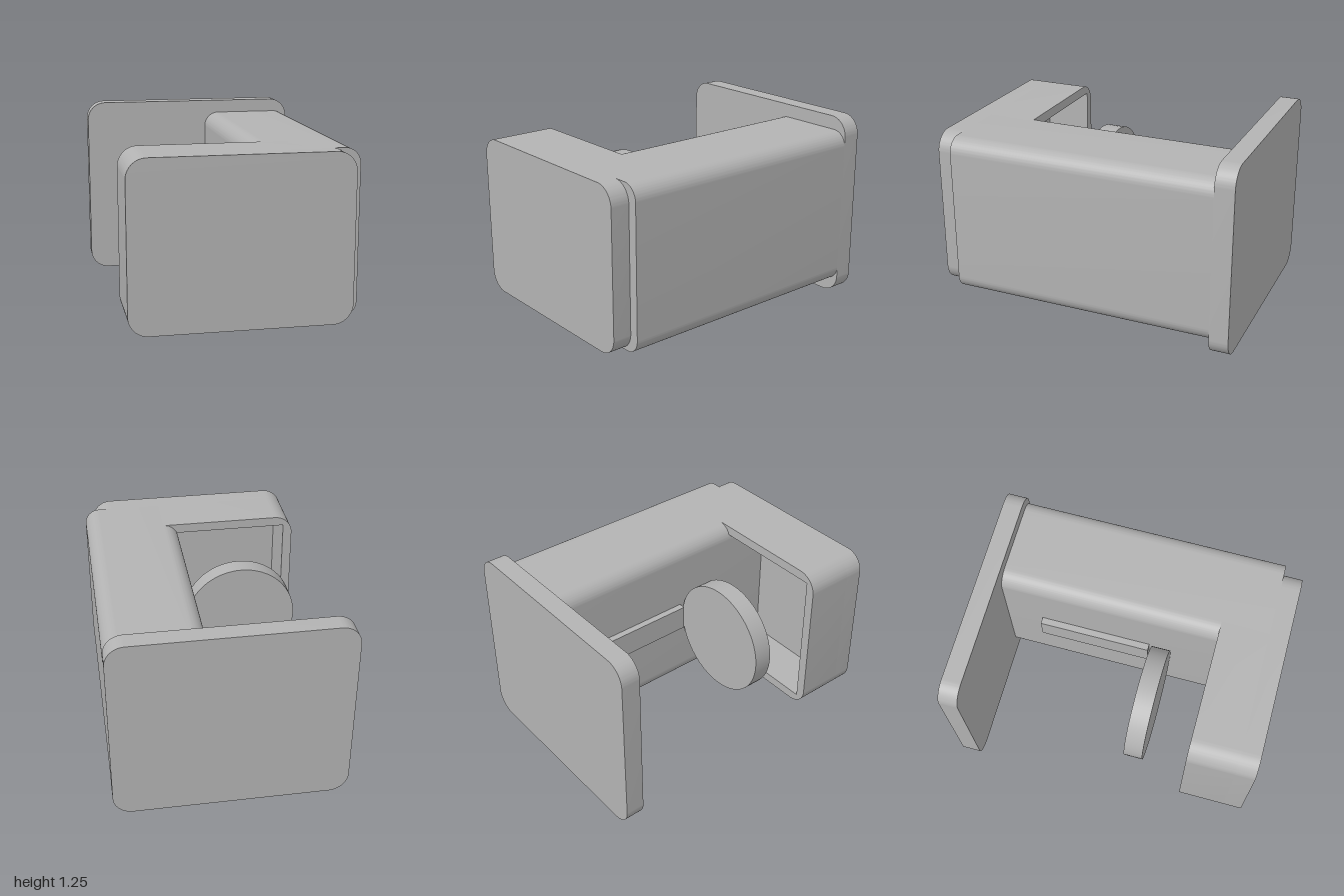
import * as THREE from 'three';
import { toCreasedNormals } from 'three/addons/utils/BufferGeometryUtils.js';

// Rounded rectangle outline in the xy plane
function roundedRect(x0, x1, y0, y1, r) {
  const s = new THREE.Shape();
  s.moveTo(x0 + r, y0);
  s.lineTo(x1 - r, y0);
  s.absarc(x1 - r, y0 + r, r, -Math.PI / 2, 0);
  s.lineTo(x1, y1 - r);
  s.absarc(x1 - r, y1 - r, r, 0, Math.PI / 2);
  s.lineTo(x0 + r, y1);
  s.absarc(x0 + r, y1 - r, r, Math.PI / 2, Math.PI);
  s.lineTo(x0, y0 + r);
  s.absarc(x0 + r, y0 + r, r, Math.PI, Math.PI * 1.5);
  return s;
}

export function createModel() {
  const group = new THREE.Group();
  const grey = new THREE.MeshStandardMaterial({ color: 0xb3b3b3 });
  grey.name = 'plain grey';

  const add = (name, geometry) => {
    const mesh = new THREE.Mesh(geometry, grey);
    mesh.name = name;
    group.add(mesh);
    return mesh;
  };
  // Extrudes an outline along z between two depths
  const slab = (name, shape, z0, z1) => {
    const g = new THREE.ExtrudeGeometry(shape, { depth: z1 - z0, bevelEnabled: false, curveSegments: 12 });
    g.translate(0, 0, z0);
    return add(name, toCreasedNormals(g, 0.6));
  };

  // Large plate at the back
  slab('backPlate', roundedRect(-0.75, 0.75, 0, 1.25, 0.125), -1, -0.875);

  // Long arm joining the plate to the head
  slab('arm', roundedRect(0.125, 0.75, 0.095, 1.16, 0.1), -0.875, 0.875);

  // Head: solid front face with a hollow rim open towards the back
  const outline = () => roundedRect(-0.6875, 0.6875, 0.095, 1.16, 0.125);
  slab('headFace', outline(), 0.875, 1);
  const rim = outline();
  const opening = new THREE.Path();
  opening.moveTo(-0.625, 0.158);
  opening.lineTo(-0.625, 1.097);
  opening.lineTo(0.3, 1.097);
  opening.lineTo(0.3, 0.158);
  opening.closePath();
  rim.holes.push(opening);
  slab('headRim', rim, 0.5625, 0.875);

  // Round pad beside the arm
  const pad = new THREE.CylinderGeometry(0.375, 0.375, 0.125, 64);
  pad.rotateX(Math.PI / 2);
  add('roundPad', pad).position.set(-0.25, 0.625, 0.2125);

  // Thin bar on the inner side of the arm
  add('sideBar', new THREE.BoxGeometry(0.065, 0.17, 0.75)).position.set(0.1125, 0.625, -0.25);

  return group;
}
